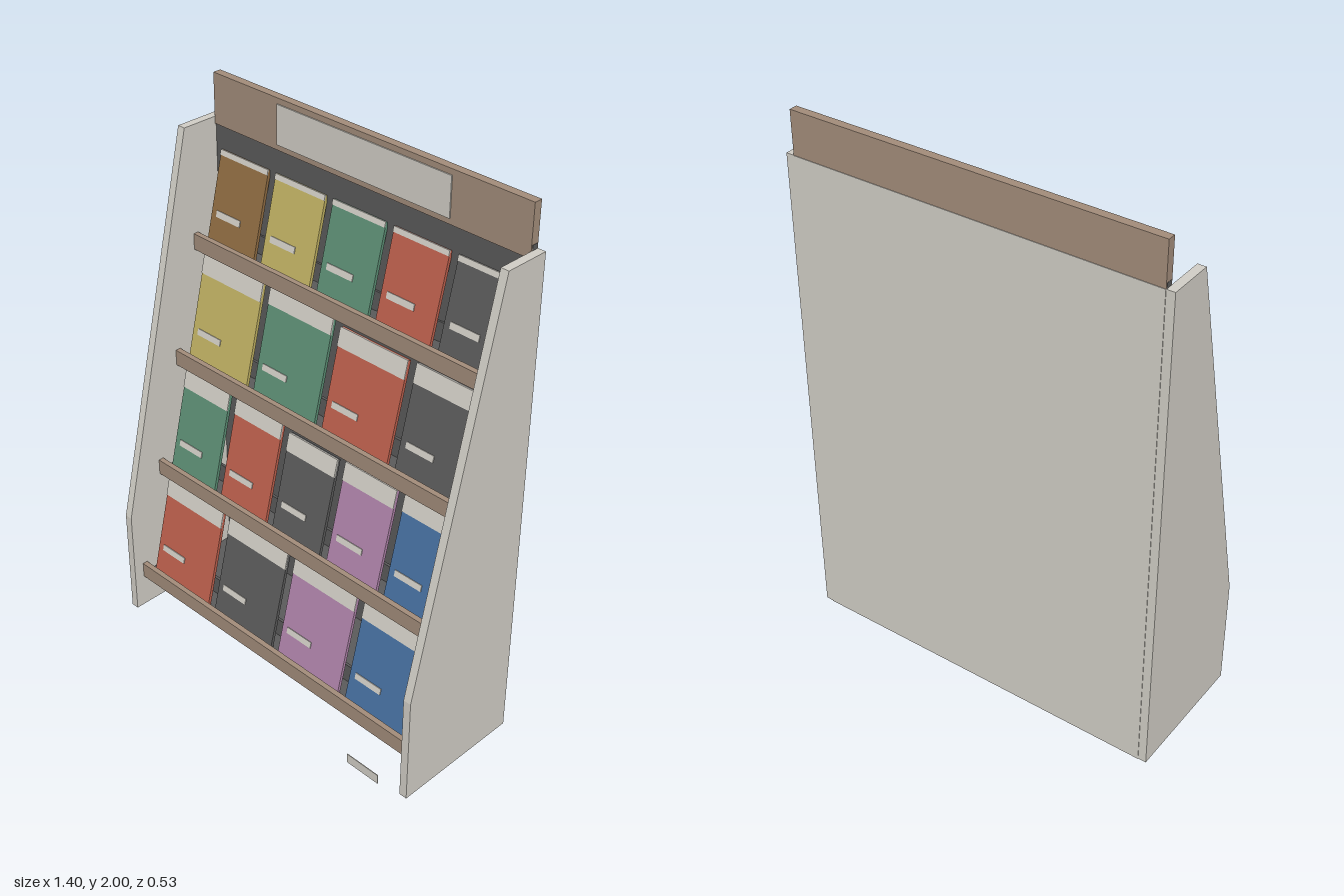
import * as THREE from 'three';

const mat = (name, color) => {
  const m = new THREE.MeshStandardMaterial({ color });
  m.name = name;
  return m;
};
const M = {
  pale: mat('pale grey', 0xd0cdc5),
  dark: mat('charcoal', 0x5a5a5a),
  wood: mat('wood brown', 0xa28c7a),
  kick: mat('mid grey', 0x8a8883),
  red: mat('red', 0xbb5f4c),
  green: mat('green', 0x5c8e74),
  yellow: mat('yellow', 0xbfb062),
  blue: mat('blue', 0x466f9f),
  purple: mat('purple', 0xad82a8),
  ochre: mat('ochre', 0x8f6c42),
};

// Box given by its minimum and maximum on each axis
function box(parent, name, material, [x0, x1], [y0, y1], [z0, z1]) {
  const mesh = new THREE.Mesh(new THREE.BoxGeometry(x1 - x0, y1 - y0, z1 - z0), material);
  mesh.position.set((x0 + x1) / 2, (y0 + y1) / 2, (z0 + z1) / 2);
  mesh.name = name;
  parent.add(mesh);
  return mesh;
}

// Sloped side panel, extruded along x
function sidePanel(name, x) {
  const s = new THREE.Shape([
    [0.265, 0], [0.265, 1.845], [0.1, 1.845], [-0.235, 0.42], [-0.235, 0],
  ].map(([z, y]) => new THREE.Vector2(z, y)));
  const g = new THREE.ExtrudeGeometry(s, { depth: 0.03, bevelEnabled: false });
  g.rotateY(Math.PI / 2);
  const mesh = new THREE.Mesh(g, M.pale);
  mesh.position.x = x;
  mesh.name = name;
  return mesh;
}

// Leaning booklet with a pale title band and a small label
function booklet(x, y, z, w, h, band, material) {
  const g = new THREE.Group();
  g.name = 'booklet';
  const l = -w / 2;
  box(g, 'cover', material, [l, -l], [0, h], [-0.012, 0]);
  box(g, 'titleBand', M.pale, [l, -l], [h - band, h + 0.001], [-0.002, 0.003]);
  box(g, 'label', M.pale, [l + 0.025, l + 0.14], [0.107, 0.13], [-0.002, 0.003]);
  g.position.set(x, y, z);
  g.rotation.x = -0.24;
  return g;
}

export function createModel() {
  const root = new THREE.Group();
  root.name = 'displayRack';

  // Cabinet
  root.add(sidePanel('leftSidePanel', 0.67), sidePanel('rightSidePanel', -0.7));
  box(root, 'backLiner', M.dark, [-0.671, 0.671], [0.01, 1.863], [-0.262, -0.24]);
  box(root, 'backPanel', M.pale, [-0.67, 0.67], [0, 1.845], [-0.267, -0.262]);

  // Header board and blank sign
  box(root, 'header', M.wood, [-0.67, 0.67], [1.82, 2], [-0.265, -0.235]);
  box(root, 'sign', M.pale, [-0.37, 0.365], [1.84, 1.98], [-0.236, -0.231]);

  // Recessed base with kick plate, and the small tag in front
  box(root, 'base', M.dark, [-0.67, 0.67], [0.002, 0.08], [-0.262, 0.008]);
  box(root, 'kickPlate', M.kick, [-0.66, 0.66], [0.01, 0.075], [0.005, 0.013]);
  box(root, 'floorTag', M.pale, [0.46, 0.6], [0.02, 0.057], [0.265, 0.268]);

  // Tiers from bottom to top: booklet colours and heights
  const tiers = [
    { colors: ['red', 'dark', 'purple', 'blue'], heights: [0.395, 0.395, 0.402, 0.4] },
    { colors: ['green', 'red', 'dark', 'purple', 'blue'], heights: [0.396, 0.403, 0.38, 0.39, 0.4] },
    { colors: ['yellow', 'green', 'red', 'dark'], heights: [0.395, 0.405, 0.383, 0.39] },
    { colors: ['ochre', 'yellow', 'green', 'red', 'dark'], heights: [0.336, 0.336, 0.336, 0.336, 0.336] },
  ];
  tiers.forEach(({ colors, heights }, i) => {
    const y = 0.13 + 0.42 * i;
    const z = 0.195 - 0.1055 * i;
    const tier = new THREE.Group();
    tier.name = 'tier' + (i + 1);
    box(tier, 'shelfLip', M.wood, [-0.67, 0.67], [y, y + 0.06], [z - 0.02, z]);
    box(tier, 'shelfFloor', M.dark, [-0.67, 0.67], [y, y + 0.018], [z - 0.12, z - 0.02]);
    box(tier, 'shelfStop', M.dark, [-0.67, 0.67], [y, y + 0.09], [z - 0.122, z - 0.112]);
    const n = colors.length;
    const w = n === 4 ? 0.293 : 0.228;
    const step = (1.276 - w) / (n - 1);
    colors.forEach((c, k) => {
      const x = -0.64 + w / 2 + k * step;
      tier.add(booklet(x, y + 0.02, z - 0.032, w, heights[k], i === 3 ? 0.018 : 0.066, M[c]));
    });
    root.add(tier);
  });

  return root;
}
